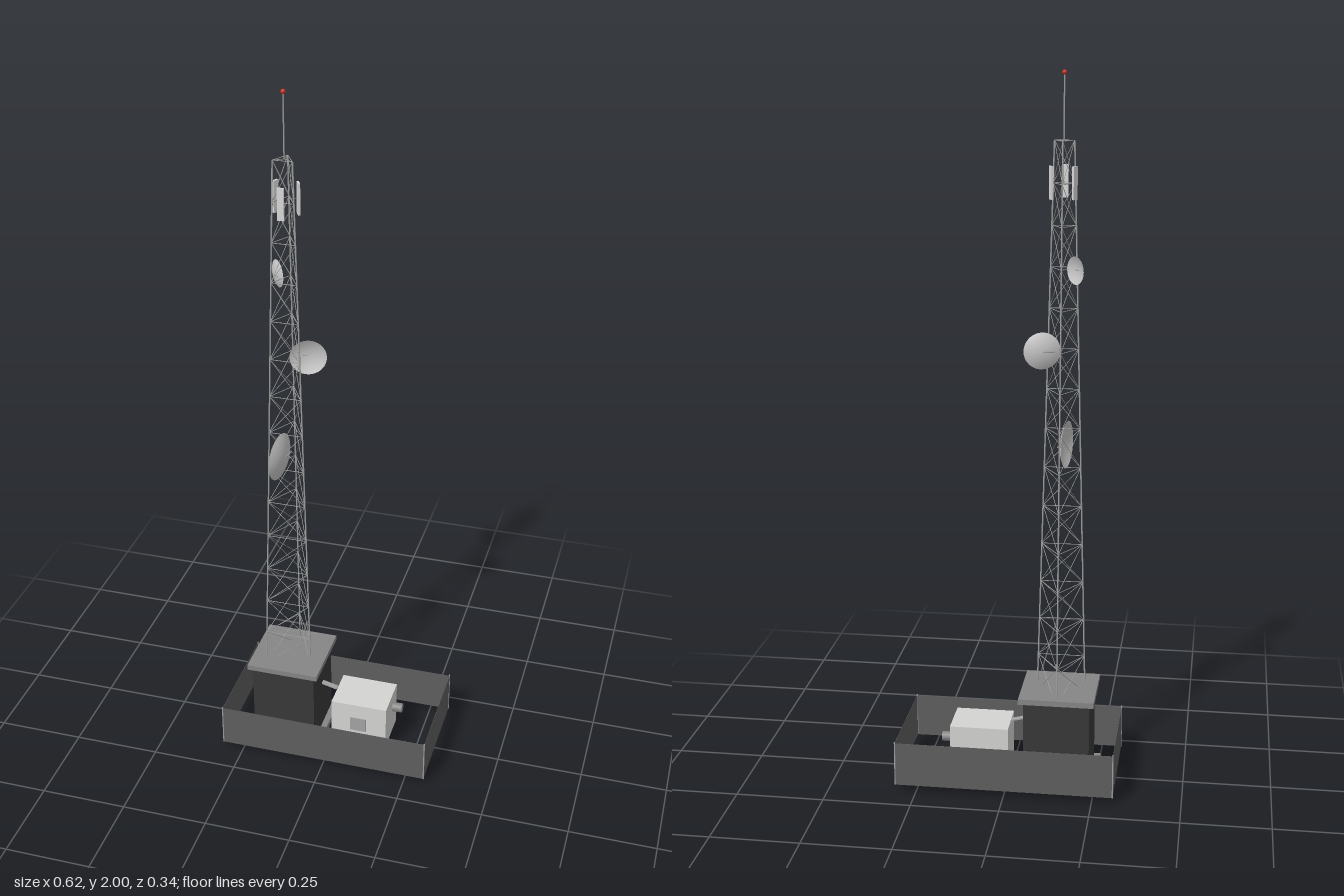
import * as THREE from 'three';
import { mergeGeometries } from 'three/addons/utils/BufferGeometryUtils.js';

const mat = (name, color, side = THREE.FrontSide) => {
  const m = new THREE.MeshStandardMaterial({ color, side });
  m.name = name;
  return m;
};
const V = (x, y, z) => new THREE.Vector3(x, y, z);

// Round bar between two points
function bar(a, b, r, sides = 6) {
  const d = b.clone().sub(a);
  const g = new THREE.CylinderGeometry(r, r, d.length(), sides);
  g.applyQuaternion(new THREE.Quaternion().setFromUnitVectors(V(0, 1, 0), d.normalize()));
  const c = a.clone().add(b).multiplyScalar(0.5);
  return g.translate(c.x, c.y, c.z);
}

// Box given by its limits
function span(x0, x1, y0, y1, z0, z1) {
  return new THREE.BoxGeometry(x1 - x0, y1 - y0, z1 - z0)
    .translate((x0 + x1) / 2, (y0 + y1) / 2, (z0 + z1) / 2);
}

export function createModel() {
  const steel = mat('tower steel', 0xa0a0a0);
  const wallMat = mat('shelter wall', 0x383838);
  const concrete = mat('concrete', 0x868686);
  const fenceMat = mat('fence', 0x5e5e5e, THREE.DoubleSide);
  const postMat = mat('light metal', 0xa4a4a4);
  const cabinetMat = mat('cabinet', 0xd4d4d2);
  const dishMat = mat('dish', 0xc8c8c8, THREE.DoubleSide);
  const panelMat = mat('antenna panel', 0xd8d8d8);
  const dark = mat('skid dark', 0x282828);
  const red = mat('beacon red', 0xd03020);

  const root = new THREE.Group();
  const add = (name, geo, material, parent = root) => {
    const m = new THREE.Mesh(geo, material);
    m.name = name;
    parent.add(m);
  };

  // Equipment shelter with foundation and roof slab
  const TX = -0.141;
  add('foundation', span(TX - 0.112, TX + 0.112, 0, 0.02, -0.112, 0.112), concrete);
  add('shelterWalls', span(TX - 0.094, TX + 0.094, 0.02, 0.258, -0.094, 0.094), wallMat);
  add('shelterRoof', span(TX - 0.107, TX + 0.107, 0.258, 0.274, -0.107, 0.107), concrete);

  // Perimeter fence with corner posts
  const FX = 0.309, FZ = 0.169;
  for (const s of [-1, 1]) {
    add('fenceLongSide', new THREE.BoxGeometry(2 * FX, 0.127, 0.0008).translate(0, 0.0835, s * FZ), fenceMat);
    add('fenceShortSide', new THREE.BoxGeometry(0.0008, 0.127, 2 * FZ).translate(s * FX, 0.0835, 0), fenceMat);
    for (const t of [-1, 1])
      add('fencePost', new THREE.CylinderGeometry(0.002, 0.002, 0.13, 8).translate(s * FX, 0.085, t * FZ), postMat);
  }

  // Generator cabinet, control panel, exhaust and cable tray
  const generator = new THREE.Group();
  generator.name = 'generator';
  root.add(generator);
  add('cabinet', span(0, 0.168, 0.024, 0.161, -0.067, 0.066), cabinetMat, generator);
  add('cabinetSkid', span(0.002, 0.166, 0.022, 0.024, -0.065, 0.064), dark, generator);
  add('controlPanel', span(0.059, 0.107, 0.07, 0.115, 0.066, 0.069), postMat, generator);
  add('exhaust', bar(V(0.168, 0.11, -0.023), V(0.197, 0.11, -0.023), 0.014, 24), concrete, generator);
  const tray = new THREE.BoxGeometry(0.05, 0.004, 0.016).rotateZ(-0.25).translate(-0.025, 0.169, 0);
  add('cableTray', tray, postMat, generator);

  // Tapered three-legged lattice tower
  const Y0 = 0.244, Y1 = 1.818, BAYS = 14;
  const radiusAt = y => THREE.MathUtils.lerp(0.08, 0.031, (y - Y0) / (Y1 - Y0));
  const corner = (k, y) => {
    const a = -Math.PI / 2 + k * 2 * Math.PI / 3, r = radiusAt(y);
    return V(TX + r * Math.cos(a), y, r * Math.sin(a));
  };
  const legs = [], braces = [];
  for (let k = 0; k < 3; k++) {
    legs.push(bar(corner(k, Y0), corner(k, Y1), 0.0022, 8));
    for (let i = 0; i < BAYS; i++) {
      const a = Y0 + (Y1 - Y0) * i / BAYS, b = Y0 + (Y1 - Y0) * (i + 1) / BAYS;
      braces.push(bar(corner(k, a), corner(k + 1, b), 0.0009));
      braces.push(bar(corner(k + 1, a), corner(k, b), 0.0009));
      braces.push(bar(corner(k, b), corner(k + 1, b), 0.001));
    }
    // Spoke carrying the mast
    braces.push(bar(corner(k, Y1), V(TX, Y1, 0), 0.001));
  }
  add('towerLegs', mergeGeometries(legs), steel);
  add('towerBraces', mergeGeometries(braces), steel);

  // Lightning rod and beacon
  add('mast', bar(V(TX, Y1, 0), V(TX, 1.99, 0), 0.002, 8), steel);
  add('beacon', new THREE.SphereGeometry(0.0065, 16, 12).translate(TX, 1.9935, 0), red);

  // Three sector panels around the top
  for (let k = 0; k < 3; k++) {
    const sector = new THREE.Group();
    sector.name = 'sectorAntenna';
    sector.position.set(TX, 1.709, 0);
    sector.rotation.y = k * 2 * Math.PI / 3;
    add('panel', new THREE.BoxGeometry(0.018, 0.088, 0.006).translate(0, 0, 0.036), panelMat, sector);
    add('panelArm', bar(V(0, 0, 0.016), V(0, 0, 0.034), 0.001), steel, sector);
    root.add(sector);
  }

  // Microwave dishes: azimuth in degrees, height, distance from axis, radius
  for (const [az, y, dist, R] of [[99, 0.977, 0.059, 0.067], [-16, 1.256, 0.056, 0.051], [229, 1.481, 0.057, 0.038]]) {
    const dish = new THREE.Group();
    dish.name = 'microwaveDish';
    dish.position.set(TX, y, 0);
    dish.rotation.y = -az * Math.PI / 180;
    const pts = [];
    for (let i = 0; i <= 8; i++) pts.push(new THREE.Vector2(R * i / 8, 0.26 * R * ((i / 8) ** 2 - 1)));
    const bowl = new THREE.LatheGeometry(pts, 32).rotateX(Math.PI / 2).translate(dist, 0, 0);
    add('reflector', bowl, dishMat, dish);
    add('mountArm', bar(V(dist - 0.6 * R, 0, -0.26 * R), V(dist, 0, -0.26 * R), 0.0016, 8), steel, dish);
    root.add(dish);
  }
  return root;
}
